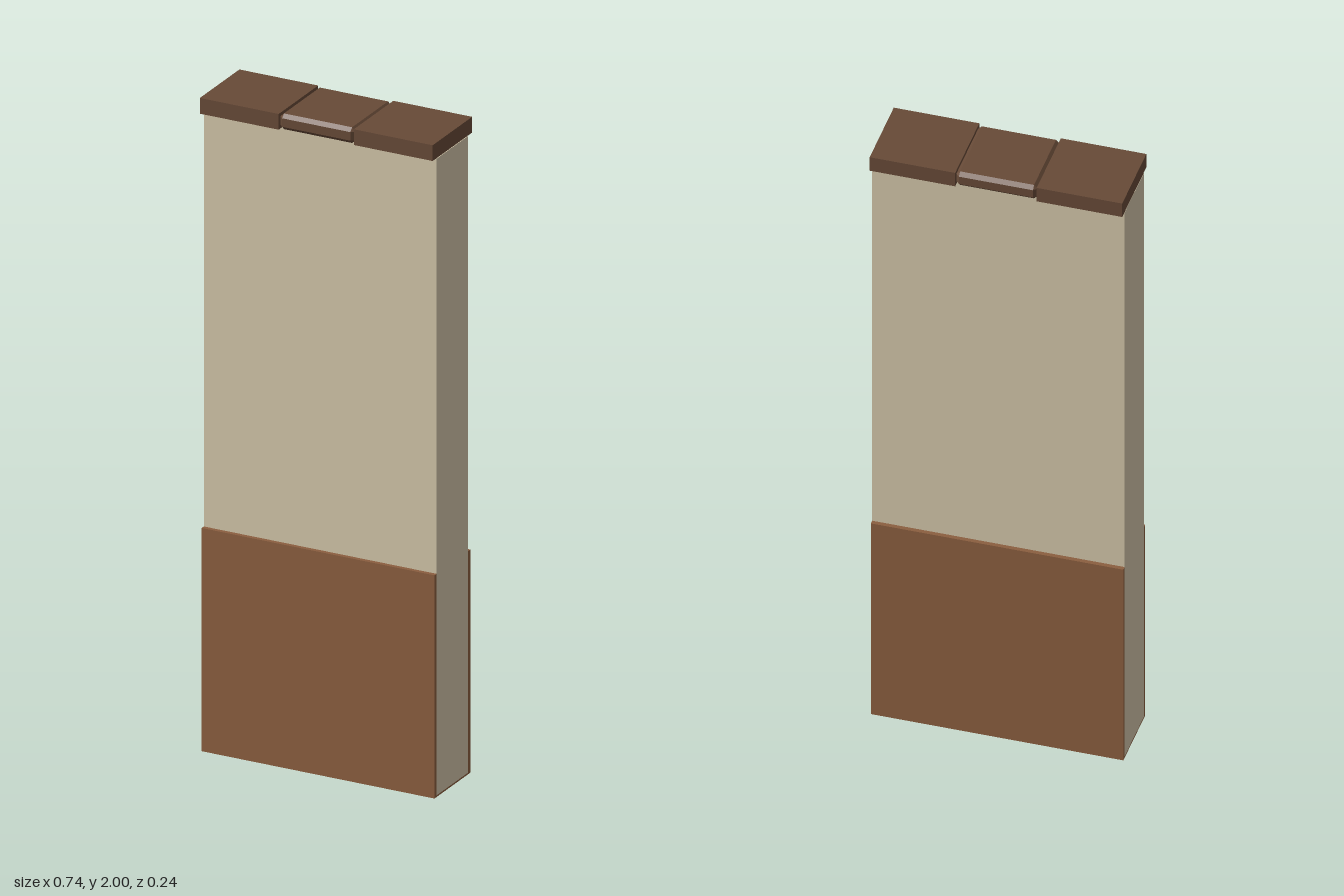
import * as THREE from 'three';
import { ConvexGeometry } from 'three/addons/geometries/ConvexGeometry.js';

const material = (color) => new THREE.MeshStandardMaterial({ color, flatShading: true });

// Block whose edges and corners are all cut by the same bevel
function chamferedBox(w, h, d, bevel) {
  const points = [];
  for (const sx of [-1, 1]) for (const sy of [-1, 1]) for (const sz of [-1, 1]) {
    for (let axis = 0; axis < 3; axis++) {
      const half = [w / 2, h / 2, d / 2].map((v, i) => (i === axis ? v : v - bevel));
      points.push(new THREE.Vector3(sx * half[0], sy * half[1], sz * half[2]));
    }
  }
  return new ConvexGeometry(points);
}

export function createModel() {
  const model = new THREE.Group();
  const plaster = material(0xd2c5a9);
  const wood = material(0x8b5e3f);
  const darkWood = material(0x674a37);

  const add = (name, geometry, mat, x, y, z) => {
    const mesh = new THREE.Mesh(geometry, mat);
    mesh.name = name;
    mesh.position.set(x, y, z);
    model.add(mesh);
  };
  const box = (w, h, d) => new THREE.BoxGeometry(w, h, d);

  // Plaster wall core standing on a thin wooden base
  add('wall', box(0.744, 1.945, 0.19), plaster, 0, 0.9775, 0);
  add('base', box(0.744, 0.005, 0.19), wood, 0, 0.0025, 0);

  // Wooden panelling on the lower part of both faces
  for (const side of [1, -1]) {
    add(side > 0 ? 'frontPanel' : 'backPanel', box(0.744, 0.682, 0.013), wood, 0, 0.341, side * 0.1015);
  }

  // Coping: two plain blocks with a bevelled one between them
  for (const side of [1, -1]) {
    add(side > 0 ? 'leftCap' : 'rightCap', box(0.252, 0.048, 0.238), darkWood, side * 0.246, 1.976, 0);
  }
  add('middleCap', chamferedBox(0.24, 0.048, 0.238, 0.011), darkWood, 0, 1.976, 0);

  return model;
}
